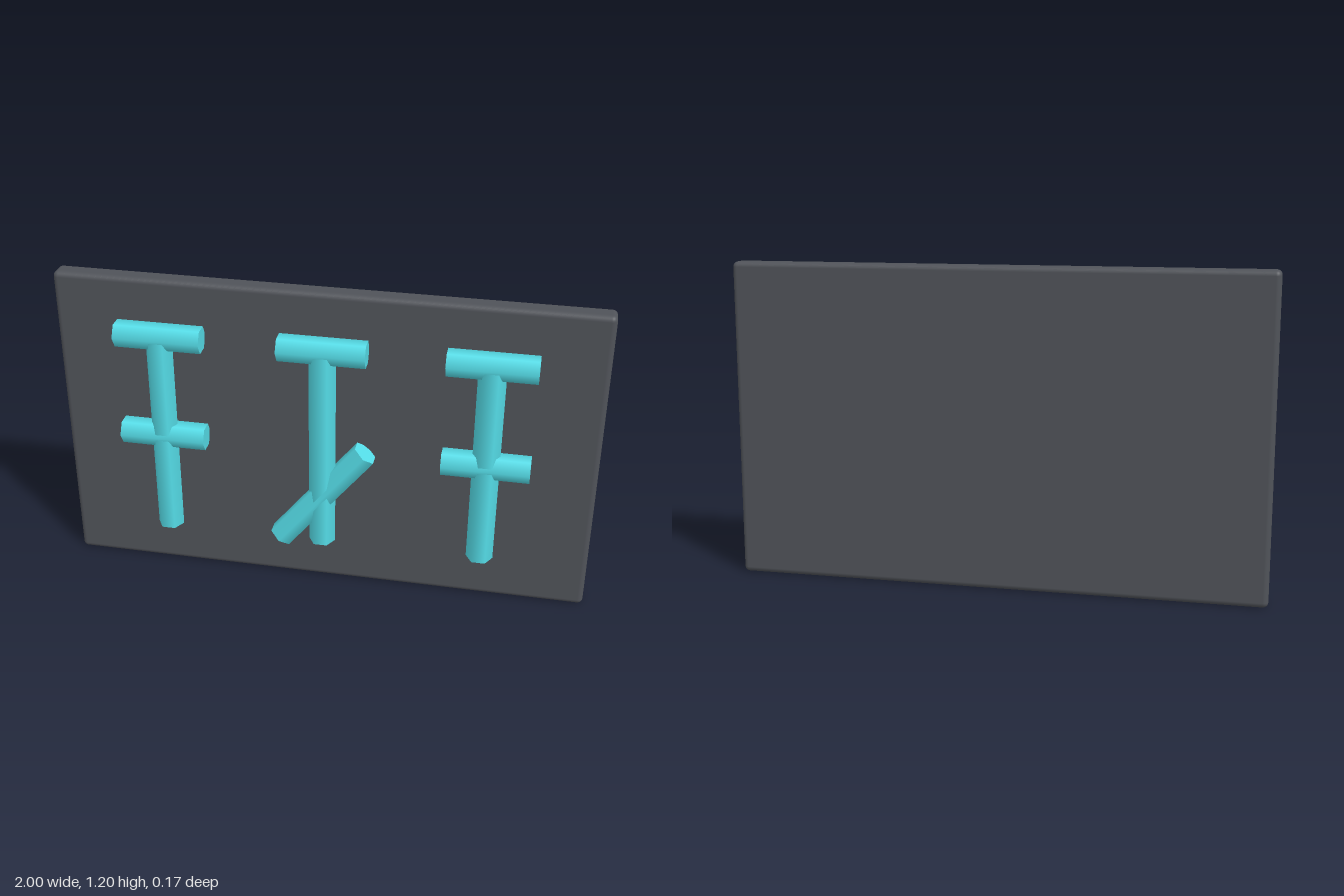
import * as THREE from 'three';
import { RoundedBoxGeometry } from 'three/addons/geometries/RoundedBoxGeometry.js';

export function createModel() {
  const model = new THREE.Group();
  model.name = 'signPanel';

  const boardMaterial = new THREE.MeshStandardMaterial({ color: 0x505359 });
  const strokeMaterial = new THREE.MeshStandardMaterial({ color: 0x55dde8 });

  // Backing board with softened edges
  const board = new THREE.Mesh(new RoundedBoxGeometry(2, 1.2, 0.08, 3, 0.02), boardMaterial);
  board.name = 'board';
  board.position.set(0, 0.6, -0.045);
  model.add(board);

  // Six-sided rod between two points in front of the board
  function addRod(parent, name, x1, y1, x2, y2, roll = 0) {
    const dx = x2 - x1, dy = y2 - y1;
    const geometry = new THREE.CylinderGeometry(0.05, 0.05, Math.hypot(dx, dy), 6);
    geometry.rotateY(roll);
    const rod = new THREE.Mesh(geometry, strokeMaterial);
    rod.name = name;
    rod.position.set((x1 + x2) / 2, (y1 + y2) / 2, 0.035);
    rod.rotation.z = Math.atan2(-dx, dy);
    parent.add(rod);
  }

  // Three raised symbols: outer ones have a crossbar, the middle one a slanted bar
  [['rightSymbol', -0.6], ['middleSymbol', 0], ['leftSymbol', 0.6]].forEach(([name, x]) => {
    const symbol = new THREE.Group();
    symbol.name = name;
    symbol.position.x = x;
    addRod(symbol, 'upright', 0, 0.2, 0, 1, Math.PI / 6);
    addRod(symbol, 'topBar', -0.16, 1, 0.16, 1);
    if (x === 0) addRod(symbol, 'slantedBar', -0.16, 0.2, 0.16, 0.6);
    else addRod(symbol, 'crossBar', -0.16, 0.6, 0.16, 0.6);
    model.add(symbol);
  });

  return model;
}
